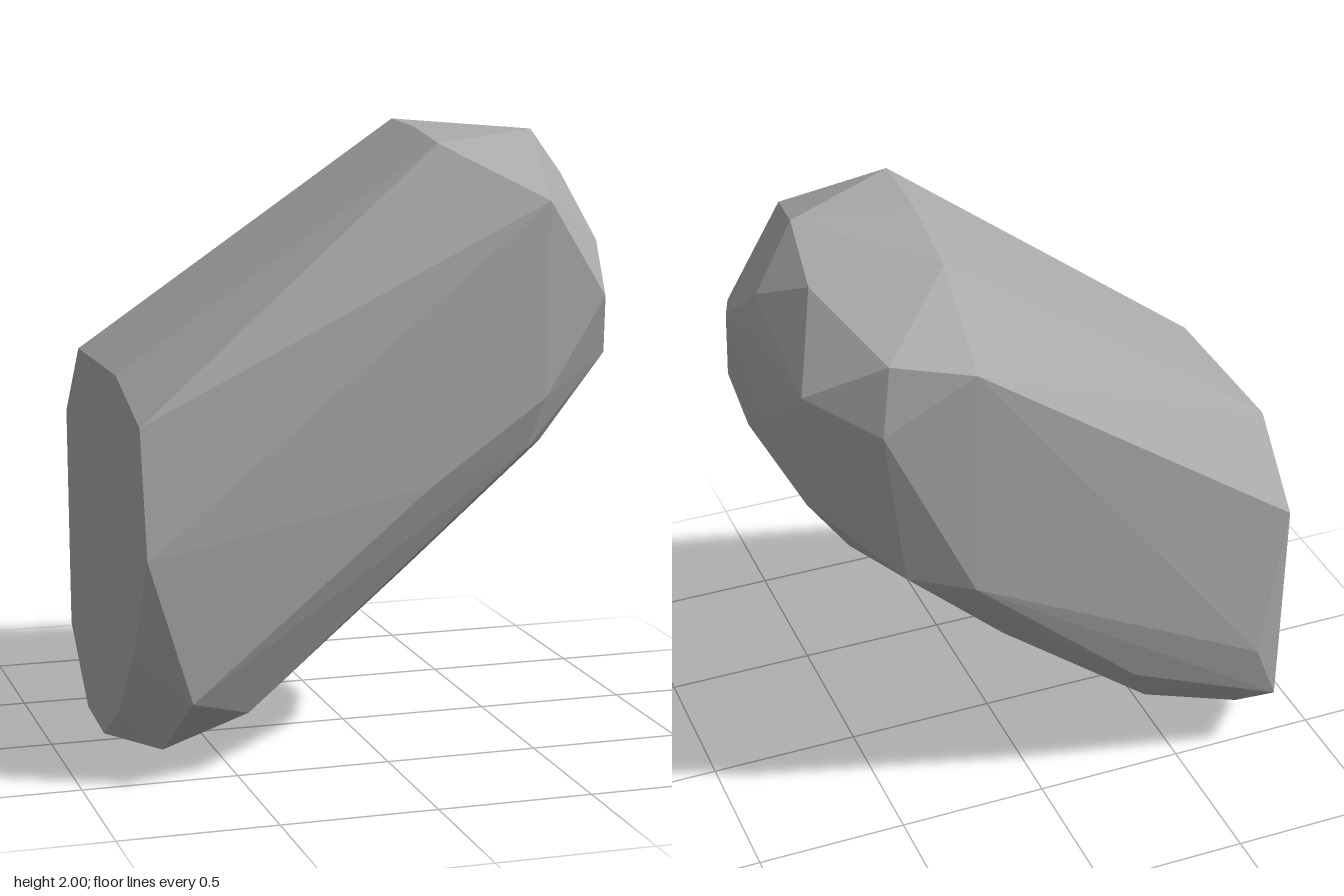
import * as THREE from 'three';
import { ConvexGeometry } from 'three/addons/geometries/ConvexGeometry.js';

// Corners of the faceted boulder, grouped by region
const cutEnd = [ // flat sheared end
  [1.25, 0.2], [1.25, -0.39], [1.0, -0.62], [0.25, -0.6], [0.02, -0.33],
  [0, -0.07], [0.14, 0.17], [0.4, 0.42], [0.74, 0.625], [1.14, 0.54],
].map(([y, z]) => [-0.81, y, z]);

const crown = [ // upper ridge and shoulders
  [0.2, 1.97, 0.37], [0.23, 2, 0.04], [0.28, 2, -0.35], [0.61, 1.99, 0.11],
  [0.67, 1.95, -0.24], [0.5, 1.8, 0.59], [0.54, 1.83, -0.58], [0.28, 1.77, -0.63],
];

const nose = [ // rounded far end
  [0.77, 1.83, -0.02], [0.79, 1.72, -0.12], [0.8, 1.63, 0.23], [0.805, 1.47, -0.15],
  [0.8, 1.33, 0.04], [0.765, 1.69, -0.43], [0.76, 1.3, -0.42], [0.57, 1.6, -0.6],
  [0.75, 1.29, 0.43], [0.7, 1.49, 0.56],
];

const underside = [ // sloping belly and its bevels
  [0.71, 1.14, 0.23], [0.6, 1.05, -0.33], [0.49, 1.18, 0.595], [0.45, 1.01, 0.54],
  [0.53, 1.01, 0.43], [0.48, 1.02, -0.53], [0.1, 0.92, 0.625], [0.08, 0.65, 0.48],
  [0.12, 0.65, -0.44], [0.28, 0.98, -0.61], [-0.3, 0.45, -0.57], [-0.72, 0.47, -0.63],
  [-0.36, 0.25, 0.28], [-0.39, 0.22, -0.17], [-0.46, 0.2, 0.49], [-0.42, 0.21, -0.4],
  [-0.59, 0.075, -0.15], [-0.7, 0.05, 0.32], [-0.67, 0.28, 0.62],
];

export function createModel() {
  const stone = new THREE.MeshStandardMaterial({ color: 0xaaaaaa });
  stone.name = 'stone grey';

  // One closed, flat-faceted hull
  const points = [...cutEnd, ...crown, ...nose, ...underside].map((p) => new THREE.Vector3(...p));
  const boulder = new THREE.Mesh(new ConvexGeometry(points), stone);
  boulder.name = 'boulder';

  const group = new THREE.Group();
  group.name = 'rock';
  group.add(boulder);
  return group;
}
